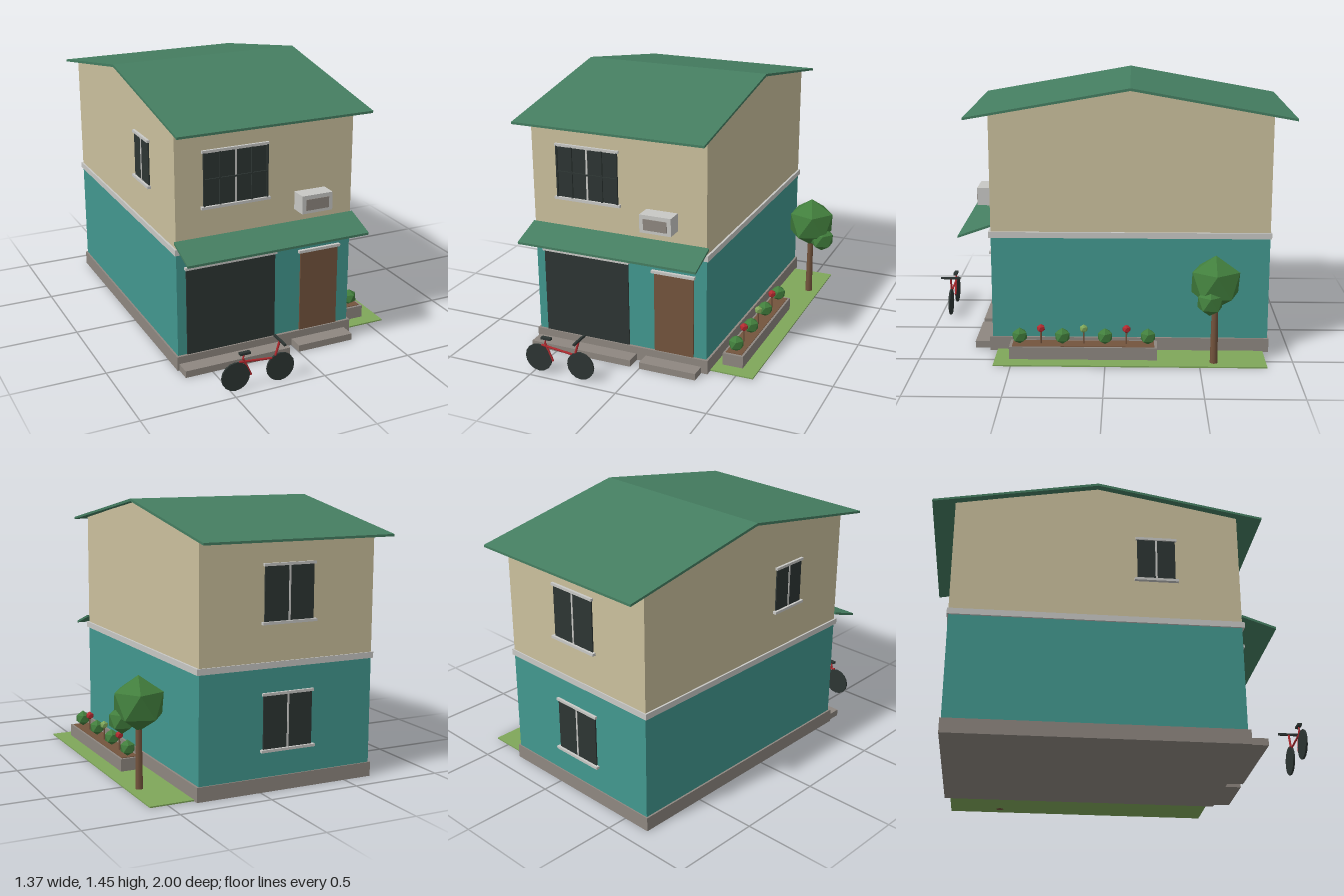
import * as THREE from 'three';

const paint = (name, color) => {
  const m = new THREE.MeshStandardMaterial({ color });
  m.name = name;
  return m;
};

export function createModel() {
  const model = new THREE.Group();
  model.name = 'townHouse';
  const cream = paint('cream', 0xcbc09d), teal = paint('teal', 0x42988f), roofGreen = paint('roofGreen', 0x457e61),
    stone = paint('stone', 0x8e8780), trim = paint('trim', 0xc8c8c5), dark = paint('charcoal', 0x2d3533),
    brown = paint('brown', 0x74543d), grass = paint('grass', 0x7fa75a), leaf = paint('leaf', 0x427f3d),
    red = paint('red', 0xb32b30);

  const add = (name, geo, mat, parent = model) => {
    const mesh = new THREE.Mesh(geo, mat);
    mesh.name = name;
    parent.add(mesh);
    return mesh;
  };
  // Box given by its minimum and maximum on each axis
  const box = (name, mat, [x0, x1], [y0, y1], [z0, z1], parent) =>
    add(name, new THREE.BoxGeometry(x1 - x0, y1 - y0, z1 - z0)
      .translate((x0 + x1) / 2, (y0 + y1) / 2, (z0 + z1) / 2), mat, parent);
  // Side profile of [z, y] points, extruded along x
  const profile = (name, mat, points, x0, x1) => {
    const shape = new THREE.Shape(points.map(([z, y]) => new THREE.Vector2(-z, y)));
    const geo = new THREE.ExtrudeGeometry(shape, { depth: x1 - x0, bevelEnabled: false });
    return add(name, geo.rotateY(Math.PI / 2).translate(x0, 0, 0), mat);
  };
  // Low-poly ball with one vertex pointing up
  const ball = (name, mat, r, x, y, z, parent) => {
    const geo = new THREE.IcosahedronGeometry(r, 0).rotateZ(-Math.atan(2 / (1 + Math.sqrt(5))));
    return add(name, geo.translate(x, y, z), mat, parent);
  };
  // Straight rod between two points
  const rod = (name, mat, a, b, r0, r1, sides, parent) => {
    const from = new THREE.Vector3(...a), dir = new THREE.Vector3(...b).sub(from);
    const mesh = add(name, new THREE.CylinderGeometry(r1, r0, dir.length(), sides), mat, parent);
    mesh.position.copy(from).addScaledVector(dir, 0.5);
    mesh.quaternion.setFromUnitVectors(new THREE.Vector3(0, 1, 0), dir.normalize());
    return mesh;
  };

  // Walls, plinth and floor band
  box('plinth', stone, [-0.66, 0.357], [0, 0.077], [-0.887, 0.635]);
  box('lowerWalls', teal, [-0.65, 0.345], [0.01, 0.65], [-0.88, 0.62]);
  profile('upperWalls', cream,
    [[0.62, 0.65], [0.62, 1.297], [-0.128, 1.437], [-0.88, 1.297], [-0.88, 0.65]], -0.65, 0.345);
  box('floorBand', trim, [-0.66, 0.357], [0.638, 0.67], [-0.887, 0.632]);

  // Gabled roof and front awning
  profile('roof', roofGreen, [[0.75, 1.278], [0.75, 1.29], [-0.128, 1.447], [-1, 1.29], [-1, 1.278], [-0.128, 1.433]],
    -0.687, 0.382);
  profile('awning', roofGreen, [[0.62, 0.697], [0.62, 0.71], [0.795, 0.649], [0.795, 0.637]], -0.66, 0.357);

  // Steps and doors
  box('garageStep', stone, [-0.65, -0.053], [0, 0.037], [0.635, 0.72]);
  box('doorStep', stone, [0, 0.322], [0, 0.037], [0.635, 0.72]);
  box('garageDoor', dark, [-0.6, -0.1], [0.077, 0.553], [0.619, 0.627]);
  box('garageLintel', trim, [-0.608, -0.094], [0.55, 0.565], [0.62, 0.638]);
  box('frontDoor', brown, [0.05, 0.273], [0.077, 0.53], [0.619, 0.627]);
  box('doorLintel', trim, [0.037, 0.282], [0.526, 0.541], [0.62, 0.638]);

  // Windows, built facing +z around their centre
  const windowAt = (name, w, h, x, y, z, turn, barred = false) => {
    const g = new THREE.Group();
    g.name = name;
    box('glass', dark, [-w / 2, w / 2], [-h / 2, h / 2], [-0.001, 0.007], g);
    box('mullion', trim, [-0.005, 0.005], [-h / 2, h / 2], [0.005, 0.01], g);
    const e = 0.012;
    box('sill', trim, [-w / 2 - 0.015, w / 2 + 0.015], [-h / 2 - e, -h / 2 + 0.002], [0, 0.02], g);
    box('lintel', trim, [-w / 2 - 0.008, w / 2 + 0.008], [h / 2 - 0.002, h / 2 + e], [0, 0.014], g);
    if (barred) {
      for (const bx of [-0.496, -0.25, 0.25, 0.496])
        box('bar', dark, [bx * w - 0.004, bx * w + 0.004], [-h / 2, h / 2], [0.007, 0.016], g);
      box('crossBar', dark, [-w / 2, w / 2], [-0.004, 0.004], [0.008, 0.016], g);
    }
    g.position.set(x, y, z);
    g.rotation.y = turn;
    model.add(g);
  };
  windowAt('frontWindow', 0.35, 0.28, -0.325, 1.012, 0.62, 0, true);
  windowAt('upperBackWindow', 0.28, 0.28, -0.152, 1.012, -0.88, Math.PI);
  windowAt('lowerBackWindow', 0.28, 0.28, -0.152, 0.362, -0.88, Math.PI);
  windowAt('sideWindow', 0.2, 0.235, -0.65, 1.012, 0.18, -Math.PI / 2);

  // Air conditioner
  box('airConditioner', trim, [0.01, 0.185], [0.776, 0.873], [0.62, 0.708]);
  box('airConditionerGrille', stone, [0.032, 0.163], [0.793, 0.852], [0.705, 0.712]);

  // Lawn and planter
  box('lawn', grass, [0.357, 0.595], [0, 0.007], [-0.855, 0.593]);
  box('planter', stone, [0.395, 0.51], [0.002, 0.075], [-0.277, 0.515]);
  box('soil', brown, [0.407, 0.498], [0.072, 0.078], [-0.262, 0.5]);
  for (let i = 0; i < 4; i++) ball('bush', leaf, 0.045, 0.452, 0.12, 0.462 - i * 0.23);
  [red, grass, red].forEach((mat, i) => {
    const z = 0.347 - i * 0.23;
    rod('flowerStem', brown, [0.452, 0.075, z], [0.452, 0.15, z], 0.005, 0.005, 5);
    ball('flower', mat, 0.024, 0.452, 0.162, z);
  });

  // Tree
  rod('trunk', brown, [0.533, 0, -0.577], [0.533, 0.36, -0.577], 0.021, 0.016, 8);
  ball('canopy', leaf, 0.145, 0.533, 0.453, -0.577);
  ball('sideCanopy', leaf, 0.075, 0.612, 0.37, -0.545);

  // Bicycle
  const bike = new THREE.Group();
  bike.name = 'bicycle';
  model.add(bike);
  const bz = 0.942;
  for (const x of [-0.475, -0.227])
    rod('wheel', dark, [x, 0.08, bz - 0.005], [x, 0.08, bz + 0.005], 0.077, 0.077, 16, bike);
  const tubes = [
    [[-0.455, 0.156], [-0.275, 0.137]],
    [[-0.435, 0.172], [-0.39, 0.073]],
    [[-0.256, 0.145], [-0.231, 0.227]],
  ];
  for (const [a, b] of tubes) rod('frameTube', red, [...a, bz], [...b, bz], 0.006, 0.006, 6, bike);
  box('saddle', dark, [-0.453, -0.397], [0.193, 0.205], [bz - 0.011, bz + 0.011], bike);
  rod('seatPost', red, [-0.435, 0.17, bz], [-0.428, 0.195, bz], 0.004, 0.004, 6, bike);
  box('handlebar', dark, [-0.237, -0.225], [0.221, 0.232], [0.885, 1], bike);
  return model;
}
